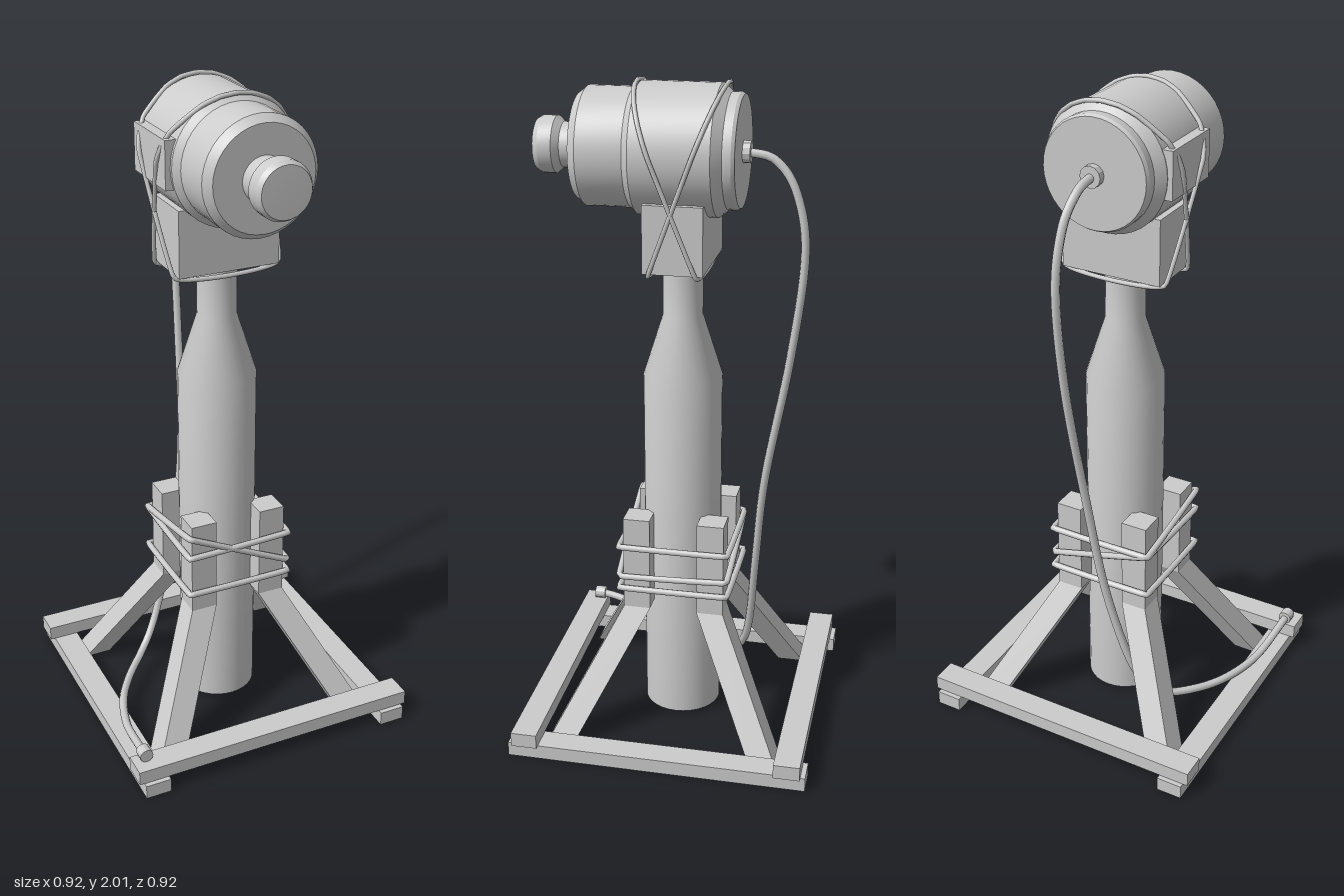
import * as THREE from 'three';
import { toCreasedNormals } from 'three/addons/utils/BufferGeometryUtils.js';

export function createModel() {
  const model = new THREE.Group();
  const mat = new THREE.MeshStandardMaterial({ color: 0xcccccc });
  const flat = new THREE.MeshStandardMaterial({ color: 0xcccccc, flatShading: true });
  const v = (p) => new THREE.Vector3(...p);

  function add(name, geo, material = mat, pos = [0, 0, 0]) {
    const mesh = new THREE.Mesh(geo, material);
    mesh.name = name;
    mesh.position.set(...pos);
    model.add(mesh);
    return mesh;
  }
  const box = (name, size, pos) => add(name, new THREE.BoxGeometry(...size), flat, pos);
  // Solid of revolution from [radius, height] pairs
  const lathe = (profile, sides = 32) => toCreasedNormals(
    new THREE.LatheGeometry(profile.map(([r, y]) => new THREE.Vector2(r, y)), sides), 0.5);
  // Tube through points; low tension keeps corners tight
  function tube(name, points, radius, closed, tension, segments) {
    const curve = new THREE.CatmullRomCurve3(points.map(v), closed, 'catmullrom', tension);
    return add(name, new THREE.TubeGeometry(curve, segments, radius, 8, closed));
  }

  // Crossed base frame: side beams on the ground, front and back beams on top
  for (const s of [-1, 1]) {
    box('baseSideBeam', [0.08, 0.045, 0.92], [s * 0.405, 0.0225, 0]);
    box('baseCrossBeam', [0.92, 0.045, 0.08], [0, 0.0675, s * 0.405]);
  }

  // Legs: upright post at the top, splayed diagonally below the knee
  for (const sx of [-1, 1]) for (const sz of [-1, 1]) {
    const geo = new THREE.BoxGeometry(0.083, 0.7, 0.083, 1, 2, 1);
    const p = geo.attributes.position;
    for (let i = 0; i < p.count; i++) {
      const y = p.getY(i);
      const c = y < -0.1 ? 0.321 : 0.115;
      p.setXYZ(i, p.getX(i) + sx * c, y < -0.1 ? 0 : y < 0.1 ? 0.4 : 0.7, p.getZ(i) + sz * c);
    }
    add('leg', geo, flat);
  }

  // Central post with a narrowed neck
  add('post', lathe([[0, 0.01], [0.12, 0.01], [0.12, 1.13], [0.06, 1.32], [0.06, 1.5], [0, 1.5]]));

  // Saddle block under the body
  box('saddleBlock', [0.315, 0.2, 0.176], [0, 1.58, 0]);

  // Horizontal body, with stepped ends
  const body = lathe([
    [0, -0.175], [0.16, -0.175], [0.166, -0.165], [0.166, -0.14], [0.19, -0.112],
    [0.19, 0.12], [0.172, 0.14], [0.172, 0.275], [0.152, 0.3], [0, 0.3],
  ], 40);
  add('body', body.rotateX(Math.PI / 2), mat, [0, 1.81, 0]);

  // Nozzle at the front
  const nozzle = lathe([
    [0, 0.29], [0.066, 0.29], [0.066, 0.35], [0.083, 0.369], [0.083, 0.41], [0.074, 0.426], [0, 0.428],
  ]);
  add('nozzle', nozzle.rotateX(Math.PI / 2), mat, [0, 1.81, 0]);

  // Thin plate strapped to the right side of the body
  box('sidePlate', [0.035, 0.14, 0.22], [-0.187, 1.82, 0]);

  // Two tilted straps crossing on each side, around body and block
  const strap = [];
  for (let i = 0; i <= 12; i++) {
    const a = (i / 12) * Math.PI;
    const r = i > 9 ? 0.21 : 0.195;
    strap.push([Math.cos(a) * r, 1.81 + Math.sin(a) * 0.192]);
  }
  strap.push([-0.166, 1.48], [0, 1.462], [0.166, 1.48]);
  for (const s of [-1, 1]) {
    tube('strap', strap.map(([x, y]) => [x, y, s * (y - 1.66) * 0.38]), 0.007, true, 0.15, 120);
  }

  // Ropes around the leg posts; heights at front right, front left, back left, back right
  for (const h of [[0.47, 0.47, 0.47, 0.47], [0.6, 0.61, 0.61, 0.61], [0.67, 0.51, 0.52, 0.61]]) {
    const k = 0.168;
    tube('legRope', [[-k, h[0], k], [k, h[1], k], [k, h[2], -k], [-k, h[3], -k]], 0.01, true, 0.03, 96);
  }

  // Cable socket, hanging cable and its end plug
  const stub = (r, len) => new THREE.CylinderGeometry(r, r, len, 12).rotateX(Math.PI / 2);
  add('cableSocket', stub(0.032, 0.03), flat, [0, 1.81, -0.182]);
  tube('cable', [
    [0, 1.81, -0.18], [0, 1.79, -0.265], [0.01, 1.7, -0.33], [0.015, 1.52, -0.36],
    [0.012, 1.2, -0.325], [-0.01, 0.8, -0.255], [-0.05, 0.5, -0.225], [-0.115, 0.25, -0.2],
    [-0.165, 0.13, -0.172], [-0.22, 0.075, -0.13], [-0.3, 0.06, -0.04], [-0.36, 0.06, 0.06],
    [-0.4, 0.068, 0.19], [-0.418, 0.1, 0.33], [-0.42, 0.108, 0.385],
  ], 0.013, false, 0.5, 120);
  add('cablePlug', stub(0.021, 0.035), flat, [-0.42, 0.11, 0.388]);

  return model;
}
